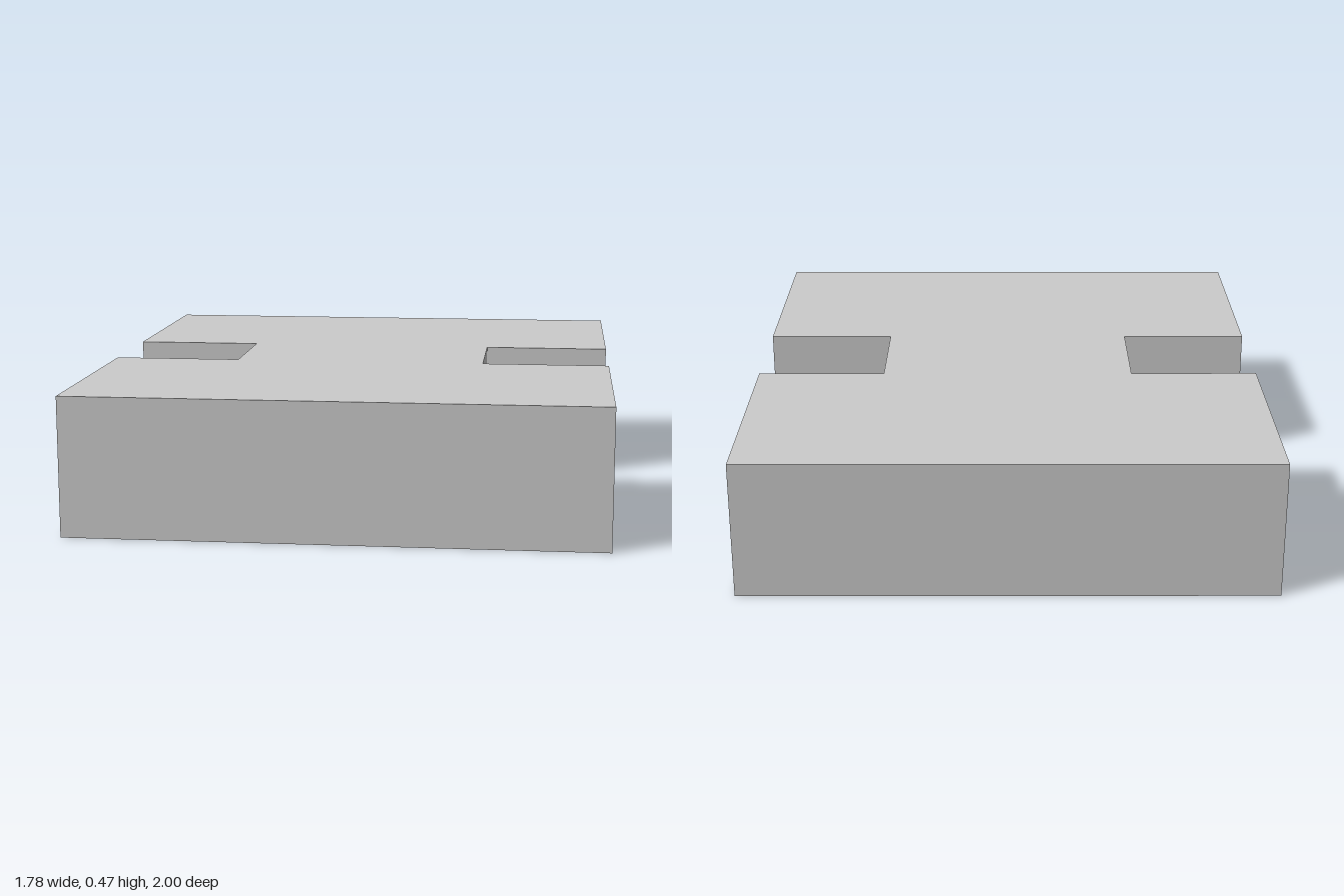
import * as THREE from 'three';

const HALF_WIDTH = 0.889, HALF_DEPTH = 1, HEIGHT = 0.467;
const WAIST = 0.443, NOTCH = 0.196; // half width of the web, half depth of the side notches

export function createModel() {
  const group = new THREE.Group();
  group.name = 'notchedBlock';

  // One quarter of the plan outline, mirrored to the other three quarters
  const right = [
    [HALF_WIDTH, -HALF_DEPTH], [HALF_WIDTH, -NOTCH], [WAIST, -NOTCH],
    [WAIST, NOTCH], [HALF_WIDTH, NOTCH], [HALF_WIDTH, HALF_DEPTH],
  ];
  const left = right.map(([x, z]) => [-x, -z]);
  const plan = new THREE.Shape([...right, ...left].map(([x, z]) => new THREE.Vector2(x, z)));

  // Extrude the plan and lay it flat on the ground
  const geometry = new THREE.ExtrudeGeometry(plan, { depth: HEIGHT, bevelEnabled: false });
  geometry.rotateX(-Math.PI / 2);

  const material = new THREE.MeshStandardMaterial({ color: 0xcccccc, flatShading: true });
  const block = new THREE.Mesh(geometry, material);
  block.name = 'block';
  group.add(block);
  return group;
}
